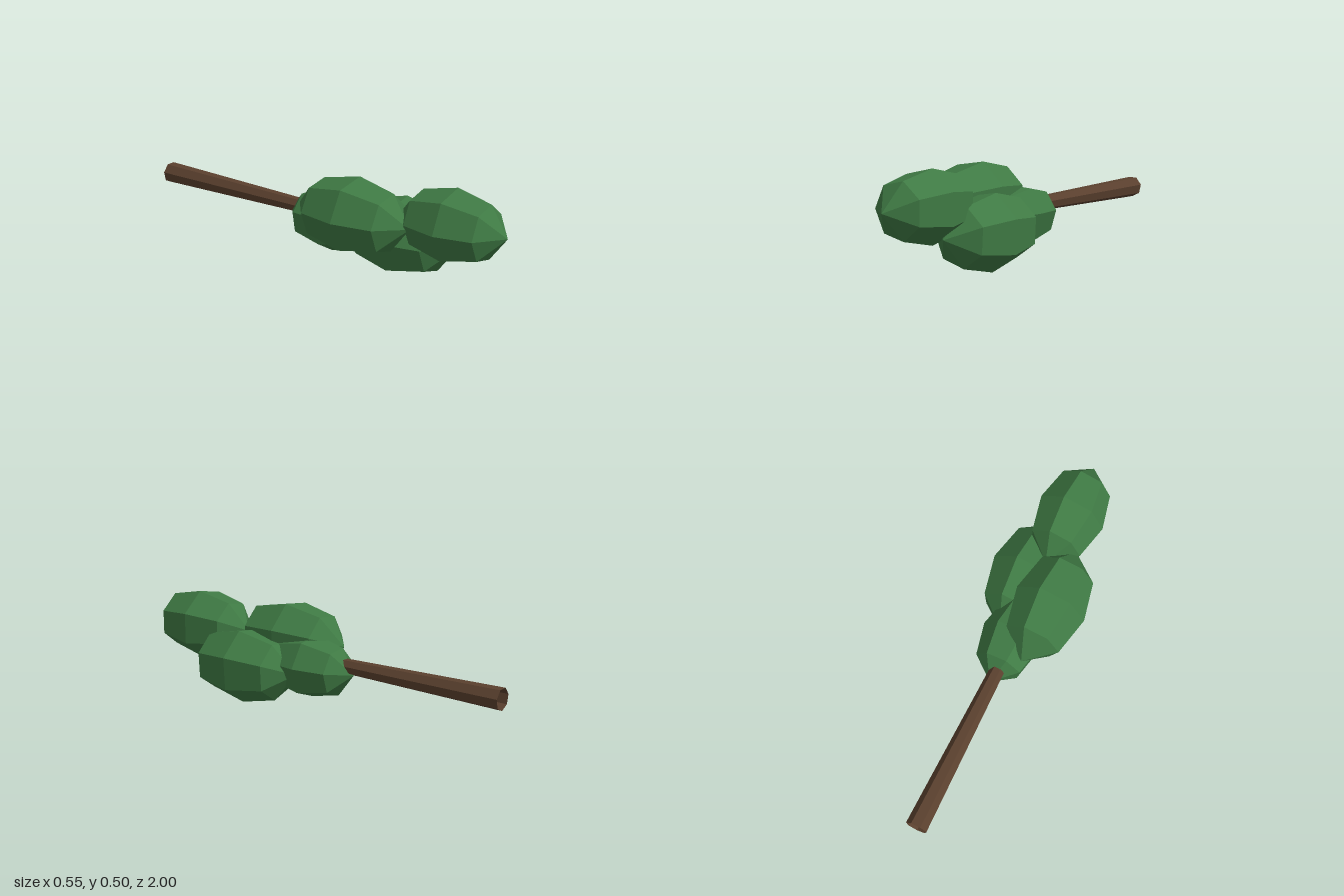
import * as THREE from 'three';

const SIDES = 7;
const leafMaterial = new THREE.MeshStandardMaterial({ color: 0x3f7a44, flatShading: true });
const barkMaterial = new THREE.MeshStandardMaterial({
  color: 0x5a402e, flatShading: true, side: THREE.DoubleSide,
});

// Faceted leaf clump: a seven-sided spindle along z, with one corner at the given angle
function leafClump(name, x, y, z, radius, halfLength, angleDeg) {
  const profile = [[0, -1], [0.77, -0.63], [1, 0], [0.77, 0.63], [0, 1]]
    .map(([r, h]) => new THREE.Vector2(r * radius, h * halfLength));
  const geometry = new THREE.LatheGeometry(profile, SIDES);
  geometry.rotateX(Math.PI / 2);
  geometry.rotateZ(THREE.MathUtils.degToRad(angleDeg + 90));
  const mesh = new THREE.Mesh(geometry, leafMaterial);
  mesh.name = name;
  mesh.position.set(x, y, z);
  return mesh;
}

export function createModel() {
  const tree = new THREE.Group();
  tree.name = 'fallenTree';

  // Tapered, open-ended trunk lying along z
  const trunkGeometry = new THREE.CylinderGeometry(0.034, 0.054, 1.0, SIDES, 1, true);
  trunkGeometry.rotateX(Math.PI / 2);
  const trunk = new THREE.Mesh(trunkGeometry, barkMaterial);
  trunk.name = 'trunk';
  trunk.position.set(-0.003, 0.25, -0.5);
  tree.add(trunk);

  // Crown: four overlapping clumps from trunk to tip
  tree.add(
    leafClump('baseClump', 0.01, 0.215, 0.05, 0.155, 0.255, 214),
    leafClump('rightClump', -0.095, 0.31, 0.24, 0.186, 0.315, 176),
    leafClump('leftClump', 0.095, 0.187, 0.385, 0.19, 0.31, -29),
    leafClump('tipClump', 0.015, 0.333, 0.715, 0.176, 0.285, 77),
  );
  return tree;
}
